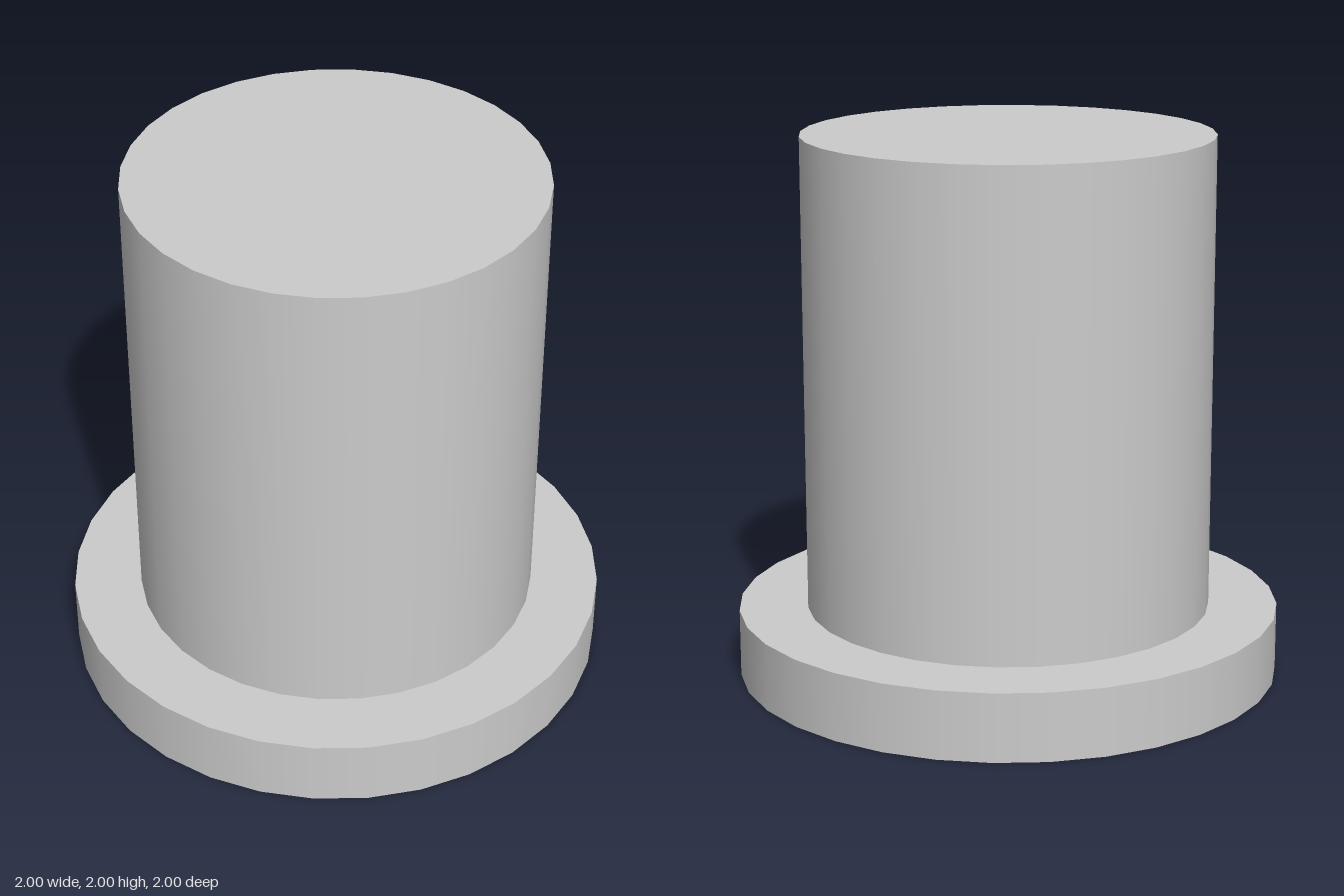
import * as THREE from 'three';

const SIDES = 32;

export function createModel() {
  const model = new THREE.Group();
  const material = new THREE.MeshStandardMaterial({ color: 0xcccccc });

  // Upright cylinder with its underside at the given height
  const addCylinder = (name, radius, bottom, top) => {
    const geometry = new THREE.CylinderGeometry(radius, radius, top - bottom, SIDES);
    const mesh = new THREE.Mesh(geometry, material);
    mesh.name = name;
    mesh.position.y = (bottom + top) / 2;
    model.add(mesh);
  };

  addCylinder('baseFlange', 1, 0, 0.25);
  addCylinder('column', 0.747, 0.25, 2);

  return model;
}
